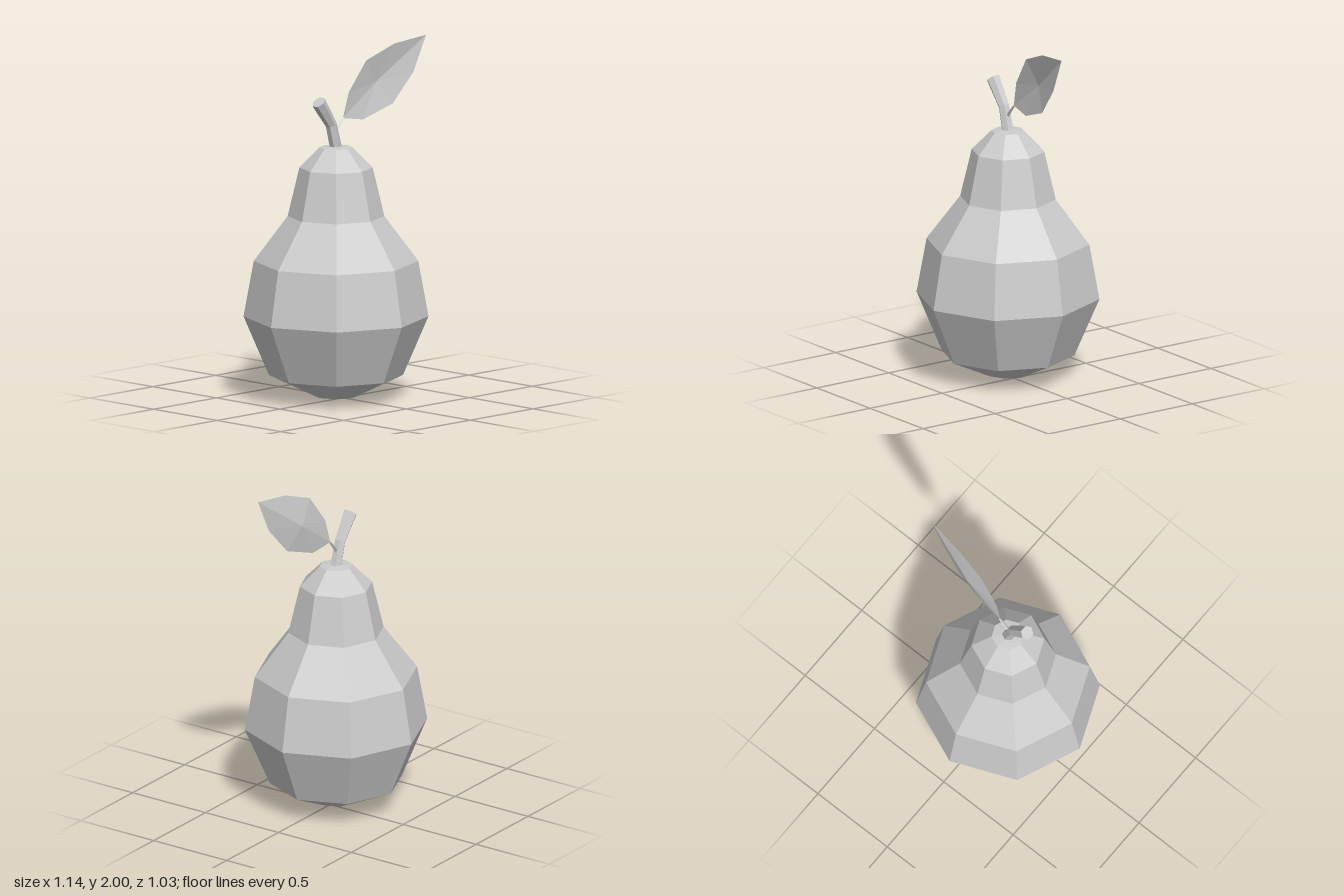
import * as THREE from 'three';

const grey = (side = THREE.FrontSide) =>
  new THREE.MeshStandardMaterial({ color: 0xcccccc, flatShading: true, side });

// Indexed mesh from a list of corner points and triangles
function mesh(name, points, faces, side) {
  const g = new THREE.BufferGeometry();
  g.setAttribute('position', new THREE.Float32BufferAttribute(points.flat(), 3));
  g.setIndex(faces.flat());
  g.computeVertexNormals();
  const m = new THREE.Mesh(g, grey(side));
  m.name = name;
  return m;
}

// Capped faceted stalk; each ring is [x, y, radius, tangentX, tangentY]
function stalk(name, rings, sides) {
  const pts = [], faces = [];
  rings.forEach(([x, y, r, tx, ty], i) => {
    const l = Math.hypot(tx, ty);
    for (let j = 0; j < sides; j++) {
      const a = (j / sides) * Math.PI * 2, s = (r * Math.sin(a)) / l;
      pts.push([x + s * ty, y - s * tx, r * Math.cos(a)]);
      if (i === 0) continue;
      const k = (j + 1) % sides, p = (i - 1) * sides, q = i * sides;
      faces.push([p + j, p + k, q + k], [p + j, q + k, q + j]);
    }
  });
  const top = (rings.length - 1) * sides;
  for (let j = 1; j < sides - 1; j++) {
    faces.push([0, j + 1, j], [top, top + j, top + j + 1]);
  }
  return mesh(name, pts, faces);
}

export function createModel() {
  const model = new THREE.Group();
  model.name = 'pear';

  // Eight-sided body, profile from base to crown
  const profile = [
    [0, 0], [0.13, 0.022], [0.375, 0.137], [0.517, 0.47], [0.46, 0.785],
    [0.27, 1.04], [0.205, 1.315], [0.092, 1.43], [0, 1.44],
  ].map(([r, y]) => new THREE.Vector2(r, y));
  const body = new THREE.Mesh(new THREE.LatheGeometry(profile, 8), grey());
  body.name = 'body';
  body.position.x = -0.055;
  model.add(body);

  // Bent six-sided stem
  model.add(stalk('stem', [
    [-0.053, 1.42, 0.035, -0.25, 1],
    [-0.094, 1.565, 0.032, -0.45, 0.9],
    [-0.193, 1.703, 0.041, -0.63, 0.77],
  ], 6));

  // Thin leaf stalk
  model.add(stalk('leafStalk', [
    [-0.07, 1.5, 0.012, 0.6, 0.8],
    [-0.035, 1.545, 0.01, 0.6, 0.8],
    [0.006, 1.592, 0.006, 0.6, 0.8],
  ], 4));

  // Leaf: outline fanned around a slightly sunken centre
  const leaf = [
    [0.25, 1.765, 0.012],
    [0, 1.588, 0], [0.14, 1.565, 0.02], [0.34, 1.635, 0.055], [0.48, 1.8, 0.08],
    [0.57, 2, 0.09], [0.35, 1.975, 0.06], [0.155, 1.9, 0.03], [0.035, 1.73, 0.01],
  ];
  const fan = Array.from({ length: 8 }, (_, i) => [0, i + 1, ((i + 1) % 8) + 1]);
  model.add(mesh('leaf', leaf, fan, THREE.DoubleSide));

  return model;
}
